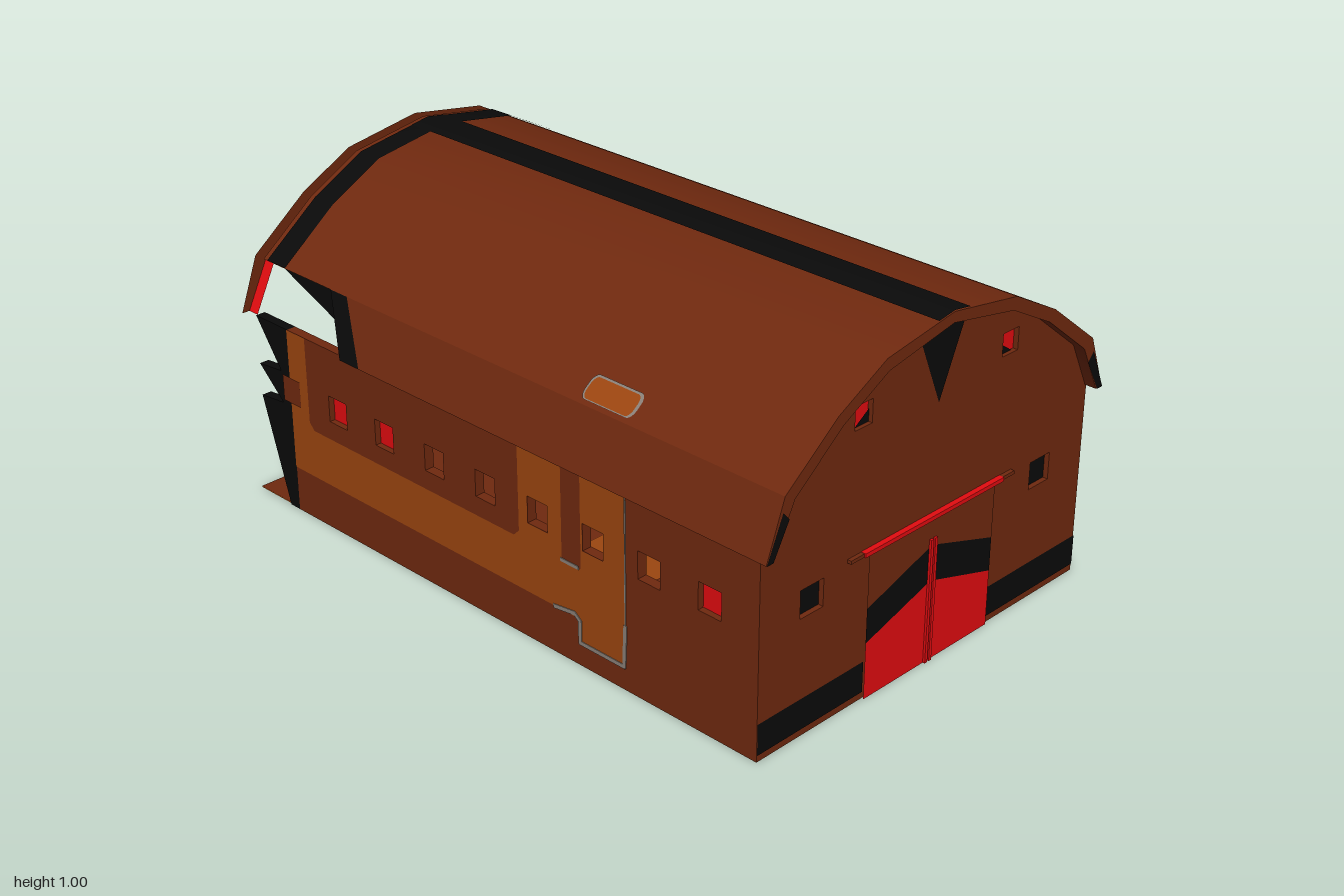
import * as THREE from 'three';

const mat = (name, color) => {
  const m = new THREE.MeshStandardMaterial({ color });
  m.name = name;
  return m;
};

// Half profiles of the roof, [z, y] from ridge to eave
const OUTER = [[0, 1], [0.25, 0.96], [0.42, 0.87], [0.6, 0.73], [0.66, 0.57]];
const INNER = [[0, 0.97], [0.24, 0.925], [0.4, 0.84], [0.565, 0.71], [0.635, 0.57]];
const full = half => [...half.slice(1).reverse().map(([z, y]) => [-z, y]), ...half];

// Interpolates a half profile: from = 0 gives y at z, from = 1 gives z at y
function onRoof(v, from, half = OUTER) {
  for (let i = 0; i < half.length - 1; i++) {
    const a = half[i], b = half[i + 1];
    const t = (v - a[from]) / (b[from] - a[from]);
    if (t <= 1.0001) return a[1 - from] + t * (b[1 - from] - a[1 - from]);
  }
  return half[4][1 - from];
}

// Part of a profile between two z values, lifted a little
function arc(z0, z1, lift = 0, half = OUTER) {
  const zs = [z0, ...full(half).map(p => p[0]).filter(z => z > z0 + 1e-4 && z < z1 - 1e-4), z1];
  return zs.map(z => [z * (1 + lift), onRoof(Math.abs(z), 0, half) + lift]);
}

// Curved skin: a [z, y] profile swept along x
function skin(profile, x0, x1, inward = false) {
  const pos = [], idx = [];
  profile.forEach(([z, y], i) => {
    pos.push(x0, y, z, x1, y, z);
    if (!i) return;
    const a = 2 * i - 2, b = a + 1, c = a + 2, d = a + 3;
    idx.push(...(inward ? [a, b, c, b, d, c] : [a, c, b, b, c, d]));
  });
  const g = new THREE.BufferGeometry();
  g.setAttribute('position', new THREE.Float32BufferAttribute(pos, 3));
  g.setIndex(idx);
  g.computeVertexNormals();
  return g;
}

function makeShape(pts, holes = []) {
  const s = new THREE.Shape(pts.map(p => new THREE.Vector2(...p)));
  holes.forEach(h => s.holes.push(new THREE.Path(h.map(p => new THREE.Vector2(...p)))));
  return s;
}

// Flat face: a 2D outline placed in space by a rule
function face(shape, place, flip = false) {
  const g = new THREE.ShapeGeometry(shape, 5);
  const p = g.attributes.position;
  for (let i = 0; i < p.count; i++) p.setXYZ(i, ...place(p.getX(i), p.getY(i)));
  if (flip) g.setIndex(Array.from(g.index.array).reverse());
  g.computeVertexNormals();
  return g;
}

const rect = (x0, x1, y0, y1) => [[x0, y0], [x1, y0], [x1, y1], [x0, y1]];

function roundRect(x0, x1, y0, y1, r) {
  const s = new THREE.Shape();
  s.absarc(x1 - r, y0 + r, r, -Math.PI / 2, 0);
  s.absarc(x1 - r, y1 - r, r, 0, Math.PI / 2);
  s.absarc(x0 + r, y1 - r, r, Math.PI / 2, Math.PI);
  s.absarc(x0 + r, y0 + r, r, Math.PI, Math.PI * 1.5);
  return s;
}

const solid = (shape, depth) => new THREE.ExtrudeGeometry(shape, { depth, bevelEnabled: false });

export function createModel() {
  const brown = mat('rust brown', 0x70290f);
  const orange = mat('rust orange', 0x9c4610);
  const red = mat('red paint', 0xe20c10);
  const black = mat('charred black', 0x0a0a0a);
  const grey = mat('bare metal', 0x8a8078);

  const model = new THREE.Group();
  model.name = 'barn';
  const add = (name, geometry, material) => {
    const m = new THREE.Mesh(geometry, material);
    m.name = name;
    model.add(m);
    return m;
  };

  // Roof skins, ridge stripe and charred band
  add('roofOuter', skin(arc(-0.6, 0.6), -0.96, 1), brown);
  add('roofInner', skin(full(INNER), -0.96, 0.965, true), brown);
  add('ridgeStripe', skin(arc(-0.06, 0.06, 0.004), -0.94, 1), black);
  add('roofBand', skin(arc(-0.6, 0.6, 0.003), -0.94, -0.86), black);

  // Painted inner rim in the open groove at the broken end
  const zones = [[-0.24, 0.24, red]];
  for (const [z0, z1, m] of [[0.24, 0.34, black], [0.34, 0.565, brown], [0.565, 0.635, red]]) {
    zones.push([z0, z1, m], [-z1, -z0, m]);
  }
  for (const [z0, z1, m] of zones) {
    const strip = arc(z0, z1, 0, INNER);
    add('rimGroove', skin(strip, -1, -0.96), m);
    add('rimUnderside', skin(strip, -1, -0.96, true), m);
  }

  // Underside of the overhang above the end wall
  add('overhangTop', skin(arc(-0.3, 0.3, 0, INNER), 0.965, 1, true), red);
  add('overhangSide', skin(arc(0.3, 0.635, 0, INNER), 0.965, 1, true), brown);
  add('overhangSide', skin(arc(-0.635, -0.3, 0, INNER), 0.965, 1, true), brown);

  // Roof thickness at both ends
  const ring = makeShape([...full(OUTER), ...full(INNER).reverse()]);
  add('roofEndRight', face(ring, (a, y) => [1, y, -a]), brown);
  add('roofEndLeft', face(ring, (a, y) => [-1, y, -a], true), brown);
  add('roofEndLeftInside', face(ring, (a, y) => [-0.998, y, -a]), brown);

  const windows = [-0.81, -0.61, -0.41, -0.203, 0, 0.201, 0.404, 0.6, 0.805];
  const hole = x => rect(x - 0.038, x + 0.038, 0.345, 0.425);
  const wallShape = makeShape(rect(-0.82, 0.965, 0, 0.57), windows.slice(1).map(hole));
  const charShape = makeShape([[-0.82, 0], [-0.86, 0], [-0.96, 0.32], [-0.86, 0.33],
    [-0.96, 0.42], [-0.86, 0.43], [-0.96, 0.57], [-0.82, 0.57]]);
  const paintShape = makeShape([[-0.82, 0.14], [0.35, 0.14], [0.36, 0.07], [0.52, 0.07],
    [0.52, 0.57], [0.36, 0.57], [0.36, 0.29], [0.29, 0.29], [0.29, 0.57], [0.13, 0.57],
    [0.13, 0.31], [0.11, 0.29], [-0.72, 0.29], [-0.74, 0.31], [-0.74, 0.57], [-0.82, 0.57]],
  [hole(0.201), hole(0.404)]);
  // Scratch paths with their widths
  const scratches = [
    [0.012, [[0.26, 0.14], [0.335, 0.15], [0.355, 0.135], [0.355, 0.07], [0.515, 0.07], [0.52, 0.19]]],
    [0.004, [[0.52, 0.19], [0.52, 0.57]]],
    [0.01, [[0.29, 0.29], [0.35, 0.29]]],
  ];

  for (const s of [1, -1]) {
    const flip = s < 0;
    const onWall = z => (x, y) => [x, y, s * z];
    const onSlope = lift => (x, y) => [x, y, s * (onRoof(y, 1) + lift)];

    // Eave with its torn, charred end
    add('eave', face(makeShape([[1, 0.57], [1, 0.73], [-0.59, 0.73], [-0.48, 0.57]]), onSlope(0), flip), brown);
    add('eaveChar', face(makeShape([[-0.48, 0.57], [-0.59, 0.73], [-0.66, 0.73], [-0.56, 0.57]]), onSlope(0), flip), black);
    add('eaveUnderside', face(makeShape(rect(-0.56, 1, 0.635, 0.66)), (x, z) => [x, 0.57, s * z], flip), brown);
    add('eaveEndChar', face(makeShape([[-0.66, 0.57], [-0.637, 0.57], [-0.585, 0.665], [-0.607, 0.69]]),
      (a, y) => [1.002, y, s * -a], flip), black);

    // Roof patch with worn edges
    add('patchBorder', face(roundRect(0.31, 0.49, 0.74, 0.786, 0.018), onSlope(0.004), flip), grey);
    add('roofPatch', face(roundRect(0.318, 0.482, 0.743, 0.783, 0.015), onSlope(0.007), flip), orange);

    // Side wall, broken edge and rust paint
    const z0 = s > 0 ? 0.61 : -0.64;
    add('sideWall', solid(wallShape, 0.03), brown).position.z = z0;
    add('brokenEdge', solid(charShape, 0.03), black).position.z = z0;
    add('wallRust', face(paintShape, onWall(0.642), flip), orange);
    for (const [width, path] of scratches) {
      for (let i = 1; i < path.length; i++) {
        const [a, b] = [path[i - 1], path[i]];
        const dx = b[0] - a[0], dy = b[1] - a[1];
        const strip = add('wallScratch', new THREE.BoxGeometry(Math.hypot(dx, dy) + 0.006, width, 0.002), grey);
        strip.position.set((a[0] + b[0]) / 2, (a[1] + b[1]) / 2, s * 0.643);
        strip.rotation.z = Math.atan2(dy, dx);
      }
    }

    // Closed window panes
    for (const i of [1, 2, 8]) add('windowPane', face(makeShape(hole(windows[i])), onWall(0.622), flip), red);
    add('boardedWindow', face(makeShape(hole(windows[0])), onWall(0.645), flip), brown);
  }

  // End wall with windows
  const upper = s => rect(s * 0.285 - 0.032, s * 0.285 + 0.032, 0.78, 0.845);
  const lower = s => rect(s * 0.453 - 0.042, s * 0.453 + 0.042, 0.34, 0.42);
  const gableTop = full(INNER.slice(0, 4));
  const gable = solid(makeShape([[-0.64, 0], [-0.64, 0.57], ...gableTop, [0.64, 0.57], [0.64, 0]],
    [upper(1), upper(-1), lower(1), lower(-1)]), 0.02);
  add('endWall', gable.rotateY(Math.PI / 2), brown).position.x = 0.945;
  const endFace = (name, pts, x, m, flip = false) =>
    add(name, face(makeShape(pts), (a, y) => [x, y, -a], flip), m);
  endFace('gableWedge', [[-0.09, 0.953], [0, 0.968], [0.09, 0.953], [0, 0.745]], 0.967, black);

  for (const s of [1, -1]) {
    endFace('gablePane', upper(s), 0.95, red);
    endFace('gablePaneSoot', [[s * 0.253, 0.78], [s * 0.305, 0.78], [s * 0.253, 0.815]], 0.953, black);
    endFace('endWindow', lower(s), 0.95, black);
    endFace('baseBand', [[s * 0.25, 0.02], [s * 0.64, 0.02], [s * 0.64, 0.11], [s * 0.25, 0.11]], 0.967, black);

    // Door leaf in three painted bands
    endFace('doorTop', [[0, 0.345], [s * 0.25, 0.265], [s * 0.25, 0.42], [0, 0.42]], 0.972, brown);
    endFace('doorStripe', [[0, 0.24], [s * 0.25, 0.165], [s * 0.25, 0.265], [0, 0.345]], 0.972, black);
    endFace('doorBottom', [[0, 0], [s * 0.25, 0], [s * 0.25, 0.165], [0, 0.24]], 0.972, red);
    add('doorPost', new THREE.BoxGeometry(0.01, 0.365, 0.01), red).position.set(0.974, 0.183, s * 0.008);
    add('railEnd', new THREE.BoxGeometry(0.012, 0.01, 0.05), brown).position.set(0.971, 0.43, s * 0.3);
  }
  add('doorRail', new THREE.BoxGeometry(0.018, 0.012, 0.55), red).position.set(0.972, 0.43, 0);

  // Torn sheet hanging in the open end, with a face on each side
  const torn = [[0.55, 0.7], [0.31, 0.39], [0.24, 0.55], [0.1, 0.22]];
  const mirror = torn.map(([a, y]) => [-a, y]).reverse();
  const sheet = (name, pts, m) => {
    endFace(name, pts, -0.949, m);
    endFace(name, pts, -0.95, m, true);
  };
  sheet('tornPanel', [...gableTop, [0.3, 0.65], ...torn.slice(2), ...mirror.slice(0, 2), [-0.3, 0.65]], brown);
  sheet('tornTip', [torn[3], [0, 0.01], mirror[0]], black);
  sheet('tornSpike', [...torn.slice(0, 3), [0.3, 0.65]], black);
  sheet('tornSpike', [...mirror.slice(1), [-0.3, 0.65]], black);

  // Floor: rusty strips around brown panels, above and below
  const floorShape = makeShape(rect(-1, 0.965, -0.64, 0.64));
  const nearPanel = roundRect(0.2, 0.8, 0.05, 0.55, 0.06);
  const farTop = makeShape([[-1, 0], [-0.6, 0], [-0.6, 0.05], [-0.08, 0.05], [-0.08, 0.64], [-1, 0.64]]);
  const farBottom = roundRect(-0.95, -0.08, 0.05, 0.55, 0.06);
  for (const [y, step, flip, far] of [[0.004, 0.003, false, farTop], [0.003, -0.003, true, farBottom]]) {
    add('floor', face(floorShape, (x, z) => [x, y, -z], flip), orange);
    for (const s of [1, -1]) {
      const place = (x, z) => [x, y + step, s * -z];
      add('floorPanel', face(nearPanel, place, flip !== s < 0), brown);
      add('openEndPanel', face(far, place, flip !== s < 0), brown);
    }
  }
  return model;
}
